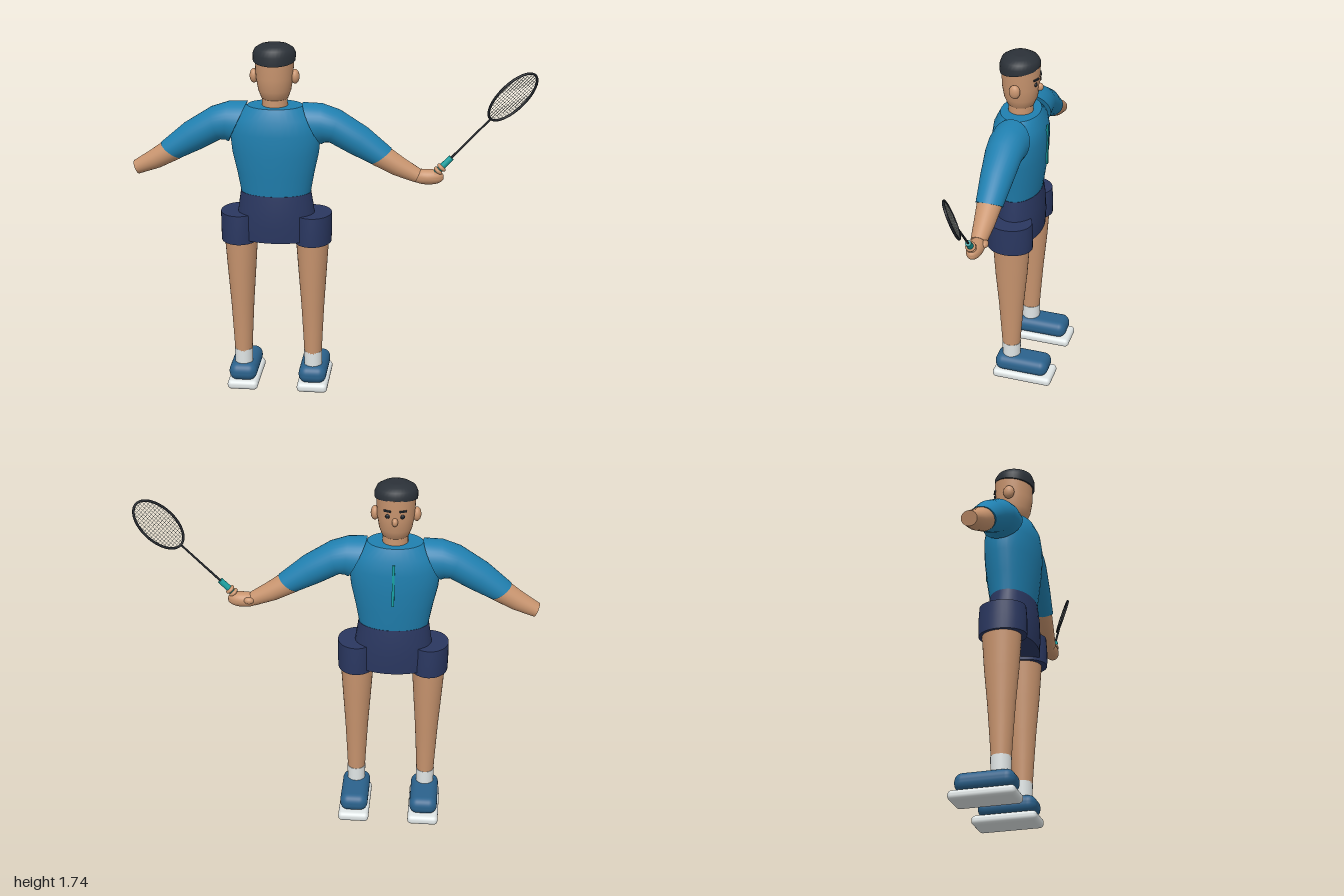
import * as THREE from 'three';
import { RoundedBoxGeometry } from 'three/addons/geometries/RoundedBoxGeometry.js';

const mat = (name, color) => {
  const m = new THREE.MeshStandardMaterial({ color });
  m.name = name;
  return m;
};
const V = (x, y, z) => new THREE.Vector3(x, y, z);

// Skin a list of rings {c, u, v} (u x v points along travel), with flat end caps.
function loft(rings, seg = 32) {
  const pos = [], idx = [];
  const point = (r, j) => {
    const t = (j / seg) * Math.PI * 2;
    return r.c.clone().addScaledVector(r.u, Math.cos(t)).addScaledVector(r.v, Math.sin(t));
  };
  rings.forEach((r) => { for (let j = 0; j < seg; j++) pos.push(...point(r, j).toArray()); });
  for (let i = 0; i < rings.length - 1; i++) {
    for (let j = 0; j < seg; j++) {
      const k = (j + 1) % seg, a = i * seg, b = a + seg;
      idx.push(a + j, a + k, b + k, a + j, b + k, b + j);
    }
  }
  [rings[0], rings[rings.length - 1]].forEach((r, end) => {
    const o = pos.length / 3;
    for (let j = 0; j < seg; j++) pos.push(...point(r, j).toArray());
    pos.push(...r.c.toArray());
    for (let j = 0; j < seg; j++) {
      const k = (j + 1) % seg;
      end ? idx.push(o + j, o + k, o + seg) : idx.push(o + k, o + j, o + seg);
    }
  });
  const g = new THREE.BufferGeometry();
  g.setAttribute('position', new THREE.Float32BufferAttribute(pos, 3));
  g.setIndex(idx);
  g.computeVertexNormals();
  return g;
}

// Upright ring: centre x, height, centre z, half width, half depth, front lift
const up = ([x, y, z, a, b, lift = 0]) => ({ c: V(x, y, z), u: V(a, 0, 0), v: V(0, lift, -b) });

// Arm ring mirrored by side: x, y, z, heading in degrees, half height, half depth
const along = (side) => ([x, y, z, deg, a, b]) => {
  const t = THREE.MathUtils.degToRad(side > 0 ? deg : 180 - deg);
  return { c: V(x * side, y, z), u: V(0, 0, b), v: V(Math.sin(t) * a, -Math.cos(t) * a, 0) };
};

export function createModel() {
  const skin = mat('skin', 0xc9956f), shirt = mat('shirtBlue', 0x2080b0);
  const navy = mat('shortsNavy', 0x2a3760), shoeBlue = mat('shoeBlue', 0x2b628c);
  const white = mat('softWhite', 0xe4eaea), hair = mat('hairBlack', 0x2b3138);
  const dark = mat('racketBlack', 0x1e2228), teal = mat('teal', 0x17a2a2);
  const stringGrey = mat('stringGrey', 0xd5dcd6);

  const model = new THREE.Group();
  model.name = 'racketPlayer';
  const body = new THREE.Group();
  body.name = 'body';
  body.position.x = -0.21;
  model.add(body);
  const add = (parent, name, geo, material, p = [0, 0, 0], s = [1, 1, 1]) => {
    const m = new THREE.Mesh(geo, material);
    m.name = name;
    m.position.set(...p);
    m.scale.set(...s);
    parent.add(m);
    return m;
  };
  const ball = new THREE.SphereGeometry(1, 24, 16);

  // Torso, pelvis and the chest stripe (front of the body is -z)
  add(body, 'shirt', loft([
    [0, 1.02, 0.048, 0.165, 0.105], [0, 1.12, 0.047, 0.183, 0.118], [0, 1.22, 0.047, 0.205, 0.128],
    [0, 1.32, 0.047, 0.215, 0.131], [0, 1.39, 0.047, 0.19, 0.122], [0, 1.445, 0.047, 0.13, 0.095],
  ].map(up)), shirt);
  add(body, 'shorts', loft([
    [0, 0.795, 0.047, 0.195, 0.115], [0, 0.87, 0.047, 0.19, 0.119], [0, 0.95, 0.047, 0.18, 0.117],
    [0, 1.025, 0.048, 0.168, 0.107],
  ].map(up)), navy);
  add(body, 'chestStripe', new THREE.BoxGeometry(0.012, 0.21, 0.009), teal, [0, 1.275, -0.084]);

  // Head
  add(body, 'neck', new THREE.CylinderGeometry(0.058, 0.062, 0.12, 24), skin, [0, 1.45, 0.048]);
  add(body, 'head', loft([
    [0, 1.468, 0.048, 0.045, 0.045], [0, 1.482, 0.048, 0.063, 0.064], [0, 1.52, 0.048, 0.077, 0.08],
    [0, 1.58, 0.048, 0.087, 0.09], [0, 1.68, 0.048, 0.092, 0.092],
  ].map(up)), skin);
  add(body, 'hair', loft([
    [0, 1.662, 0.052, 0.099, 0.095, 0.016], [0, 1.692, 0.052, 0.1, 0.096, 0.006],
    [0, 1.715, 0.052, 0.09, 0.086], [0, 1.73, 0.052, 0.066, 0.064], [0, 1.737, 0.052, 0.035, 0.035],
  ].map(up)), hair);
  add(body, 'nose', ball, skin, [0, 1.578, -0.044], [0.014, 0.02, 0.018]);

  for (const side of [1, -1]) {
    add(body, 'ear', ball, skin, [0.096 * side, 1.583, 0.05], [0.02, 0.034, 0.027]);
    add(body, 'eye', ball, dark, [0.034 * side, 1.603, -0.035], [0.011, 0.011, 0.007]);
    add(body, 'eyebrow', new THREE.BoxGeometry(0.034, 0.008, 0.009), hair, [0.036 * side, 1.63, -0.037])
      .rotation.y = -0.4 * side;

    // Arm
    const ring = along(side);
    add(body, 'sleeve', loft([
      [0.175, 1.36, 0.046, 25, 0.107, 0.095], [0.225, 1.363, 0.046, 5, 0.092, 0.093],
      [0.28, 1.349, 0.046, -17, 0.08, 0.088], [0.39, 1.283, 0.045, -36, 0.074, 0.077],
      [0.498, 1.21, 0.044, -53, 0.06, 0.064],
    ].map(ring)), shirt);
    add(body, 'forearm', loft([
      [0.47, 1.225, 0.044, -45, 0.056, 0.058], [0.5, 1.207, 0.044, -46, 0.057, 0.058],
      [0.58, 1.16, 0.042, -32, 0.047, 0.049], [0.67, 1.117, 0.04, -22, 0.034, 0.037],
    ].map(ring)), skin);
    const hand = add(body, 'hand', ball, skin, [0.715, 1.113, 0.038], [0.076, 0.036, 0.038]);
    hand.rotation.z = -0.06 * side;
    add(body, 'thumb', ball, skin, [0.686, 1.122, 0.004], [0.024, 0.017, 0.016]);

    // Leg and shoe
    const x = 0.172 * side;
    add(body, 'shortsLeg', loft([
      [x * 1.012, 0.78, 0.047, 0.09, 0.112], [x * 1.015, 0.85, 0.047, 0.091, 0.113],
      [x * 1.018, 0.922, 0.047, 0.09, 0.108],
    ].map(up)), navy);
    add(body, 'leg', loft([
      [x, 0.18, 0.042, 0.042, 0.045], [x, 0.3, 0.042, 0.048, 0.053], [x, 0.45, 0.042, 0.056, 0.064],
      [x, 0.62, 0.042, 0.068, 0.08], [x, 0.8, 0.042, 0.08, 0.092],
    ].map(up)), skin);
    add(body, 'sock', new THREE.CylinderGeometry(0.045, 0.043, 0.1, 24), white, [x, 0.15, 0.041], [1, 1, 1.05]);
    add(body, 'shoeUpper', new RoundedBoxGeometry(0.136, 0.088, 0.275, 5, 0.04), shoeBlue, [x, 0.085, -0.022]);
    add(body, 'shoeSole', new RoundedBoxGeometry(0.15, 0.046, 0.306, 4, 0.02), white, [x, 0.023, -0.029]);
  }

  // Racket: local y runs up the shaft, local x across the head, origin at the head centre
  const racket = new THREE.Group();
  racket.name = 'racket';
  const d = V(0.342, 0.365, -0.034).normalize();
  const m = V(-0.63, 0.585, 0.51);
  m.addScaledVector(d, -m.dot(d)).normalize();
  racket.quaternion.setFromRotationMatrix(new THREE.Matrix4().makeBasis(m, d, m.clone().cross(d)));
  racket.position.set(0.887, 1.5, 0.008);
  model.add(racket);
  const A = 0.143, B = 0.077;
  const oval = [];
  for (let i = 0; i < 32; i++) {
    const t = (i / 32) * Math.PI * 2;
    oval.push(V(B * Math.cos(t), A * Math.sin(t), 0));
  }
  add(racket, 'racketFrame', new THREE.TubeGeometry(new THREE.CatmullRomCurve3(oval, true), 64, 0.006, 8, true), dark);
  add(racket, 'racketShaft', new THREE.CylinderGeometry(0.0048, 0.0055, 0.275, 10), dark, [0, -0.28, 0]);
  add(racket, 'racketGrip', new THREE.CylinderGeometry(0.014, 0.016, 0.11, 16), teal, [0, -0.455, 0]);

  // Strings trimmed to the oval
  const across = 12, lengthwise = 20, w = 0.0016;
  for (let i = 1; i < across; i++) {
    const k = (2 * i) / across - 1;
    add(racket, 'mainString', new THREE.BoxGeometry(w, 2 * A * Math.sqrt(1 - k * k), w), stringGrey, [k * B, 0, 0]);
  }
  for (let i = 1; i < lengthwise; i++) {
    const k = (2 * i) / lengthwise - 1;
    add(racket, 'crossString', new THREE.BoxGeometry(2 * B * Math.sqrt(1 - k * k), w, w), stringGrey, [0, k * A, 0]);
  }

  // Fingers wrapped round the grip
  for (let i = 0; i < 3; i++) {
    add(racket, 'finger', ball, skin, [0, -0.51 + i * 0.022, 0], [0.024, 0.012, 0.024]);
  }
  return model;
}
